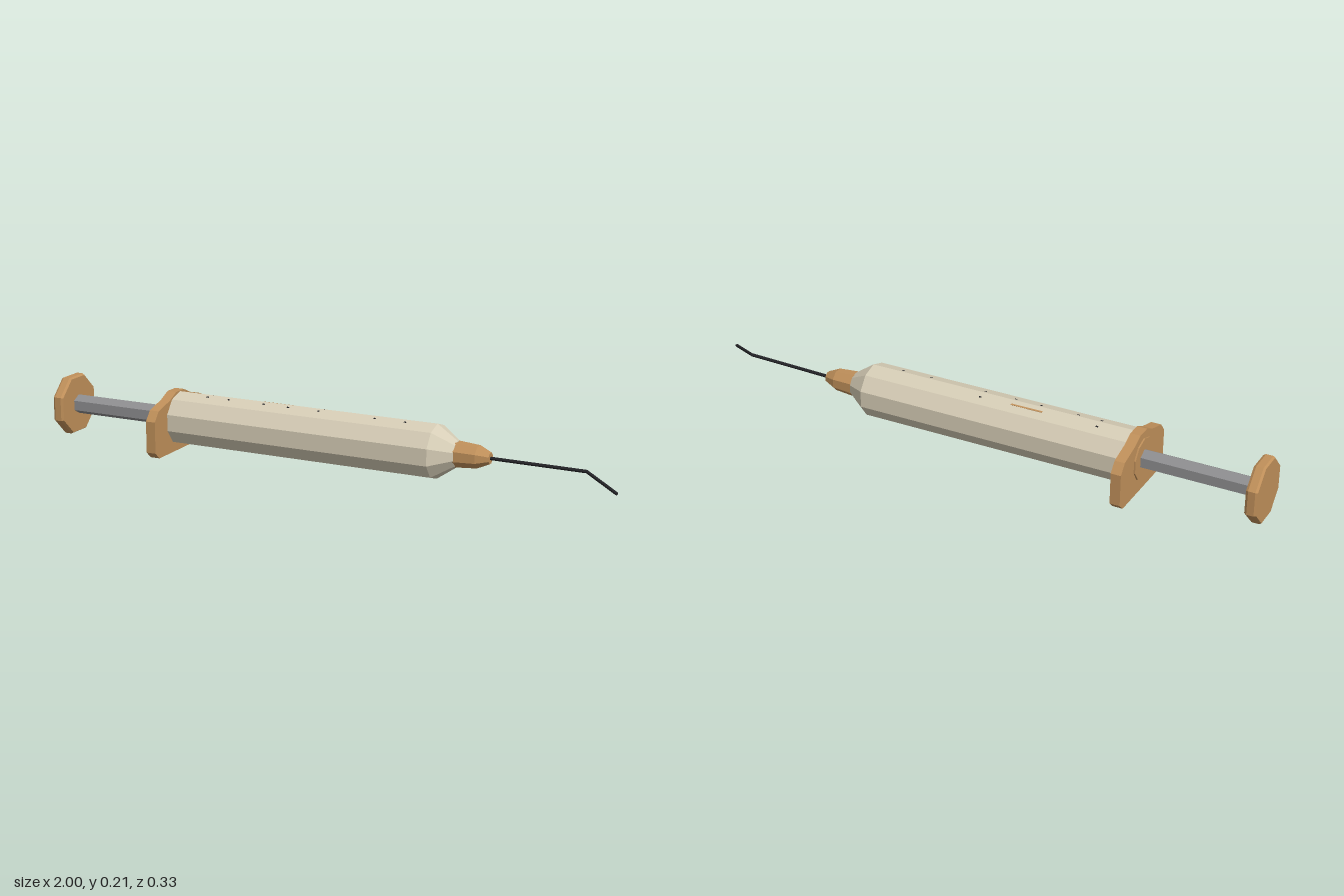
import * as THREE from 'three';

const AXIS_Y = 0.108;

function makeMaterial(name, color) {
  const m = new THREE.MeshStandardMaterial({ color, flatShading: true });
  m.name = name;
  return m;
}

export function createModel() {
  const ivory = makeMaterial('ivory', 0xd6cdb6);
  const tan = makeMaterial('tan', 0xc0905a);
  const grey = makeMaterial('grey', 0x8e8e90);
  const black = makeMaterial('black', 0x242428);

  const model = new THREE.Group();
  model.name = 'syringe';

  function add(name, geometry, material, parent = model) {
    const mesh = new THREE.Mesh(geometry, material);
    mesh.name = name;
    parent.add(mesh);
    return mesh;
  }

  // Faceted solid turned about the long axis; profile holds [x, radius] pairs
  function turned(name, profile, sides, start, material) {
    const points = profile.map(([x, r]) => new THREE.Vector2(r, x));
    const geometry = new THREE.LatheGeometry(points, sides, start);
    geometry.rotateZ(-Math.PI / 2);
    add(name, geometry, material).position.y = AXIS_Y;
  }

  // Ten-sided barrel with its conical shoulder
  turned('barrel', [[-0.57, 0], [-0.57, 0.09], [0.38, 0.09], [0.45, 0.042], [0.45, 0]],
    10, Math.PI / 2, ivory);

  // Octagonal nozzle, plunger rod and thumb rest
  turned('nozzle', [[0.445, 0], [0.445, 0.043], [0.52, 0.037], [0.56, 0.019], [0.56, 0]],
    8, Math.PI / 8, tan);
  turned('plungerRod', [[-0.97, 0], [-0.97, 0.033], [-0.57, 0.033], [-0.57, 0]],
    6, Math.PI / 2, grey);
  turned('thumbRest', [[-1, 0], [-1, 0.102], [-0.993, 0.106], [-0.97, 0.106], [-0.962, 0.101], [-0.962, 0]],
    8, Math.PI / 8, tan);
  turned('rearCollar', [[-0.594, 0], [-0.594, 0.07], [-0.58, 0.07], [-0.58, 0]],
    10, Math.PI / 2, tan);

  // Finger flange: mirrored outline extruded along the axis
  const half = [[0.14, 0], [0.164, 0.022], [0.164, 0.128], [0.138, 0.16], [0.066, 0.18], [0.025, 0.2]];
  const outline = [...half, ...half.map(([z, y]) => [-z, y]).reverse()];
  const flange = new THREE.ExtrudeGeometry(
    new THREE.Shape(outline.map(([z, y]) => new THREE.Vector2(z, y))),
    { depth: 0.034, bevelEnabled: false });
  flange.rotateY(Math.PI / 2);
  add('fingerFlange', flange, tan).position.x = -0.589;

  // Bent needle: two straight lengths and a joint
  const needle = new THREE.Group();
  needle.name = 'needle';
  model.add(needle);
  const path = [[0.55, AXIS_Y, 0], [0.875, 0.11, 0.01], [0.998, 0.08, 0.094]]
    .map((p) => new THREE.Vector3(...p));
  for (let i = 0; i < 2; i++) {
    const direction = path[i + 1].clone().sub(path[i]);
    const rod = add('needleLength', new THREE.CylinderGeometry(0.0055, 0.0055, direction.length(), 6), black, needle);
    rod.position.copy(path[i]).addScaledVector(direction, 0.5);
    rod.quaternion.setFromUnitVectors(new THREE.Vector3(0, 1, 0), direction.normalize());
  }
  add('needleBend', new THREE.IcosahedronGeometry(0.0056, 1), black, needle).position.copy(path[1]);

  // Small graduation marks lying on the two upper facets
  const slope = Math.PI / 10;
  function mark(name, x, z, length, width, material) {
    const plate = add(name, new THREE.BoxGeometry(length, 0.002, width), material);
    plate.position.set(x, AXIS_Y + 0.09 - Math.abs(z) * Math.tan(slope), z);
    plate.rotation.x = Math.sign(z) * slope;
  }
  for (const x of [-0.44, -0.36, -0.23, -0.14, -0.03, 0.17, 0.275]) {
    mark('graduationMark', x, 0.015, 0.008, 0.005, black);
  }
  for (const x of [-0.44, -0.03]) mark('graduationMark', x, -0.022, 0.008, 0.005, black);
  mark('gaugeLine', -0.195, -0.02, 0.11, 0.006, tan);

  return model;
}
